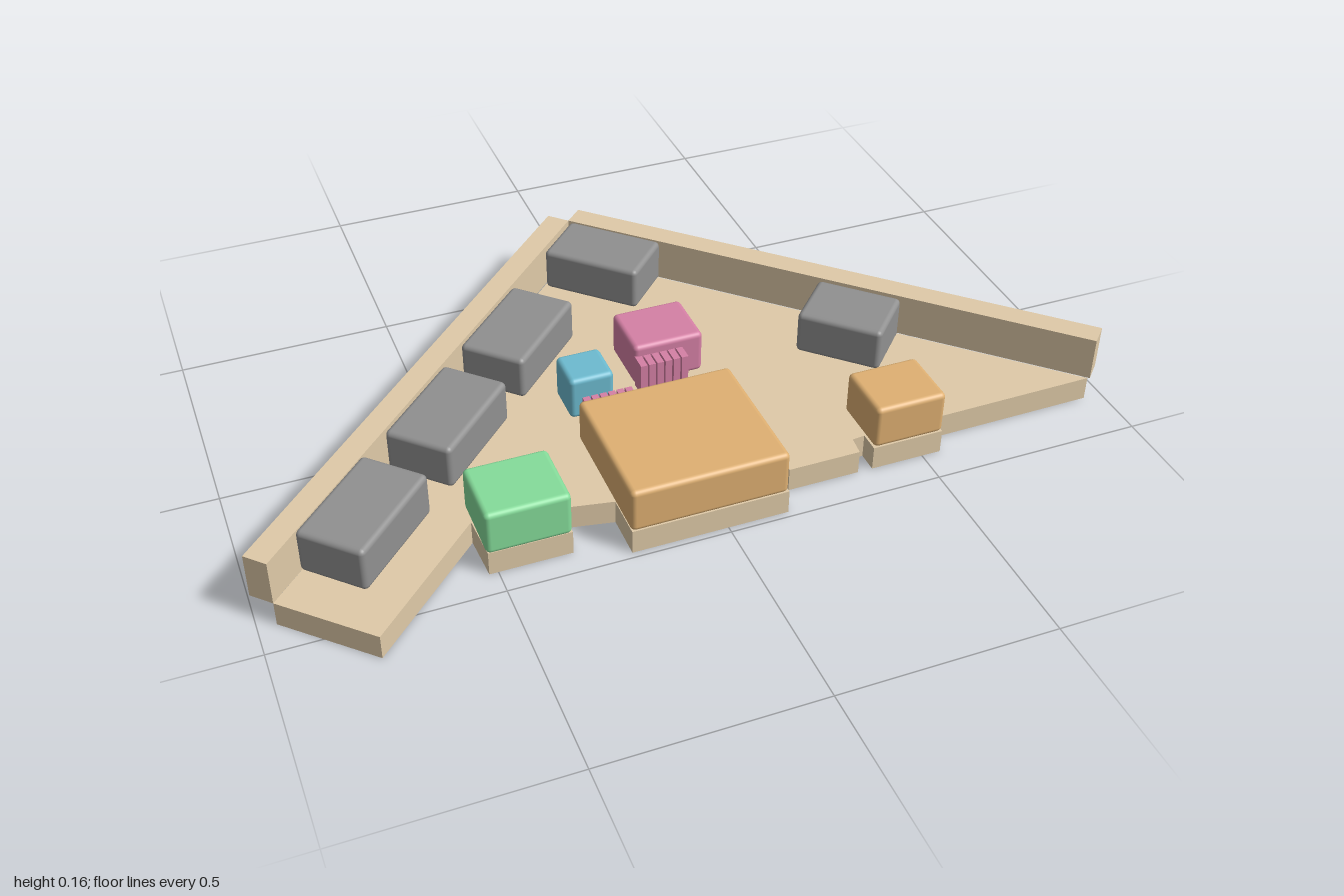
import * as THREE from 'three';
import { RoundedBoxGeometry } from 'three/addons/geometries/RoundedBoxGeometry.js';

const FLOOR = 0.058, TOP = 0.164;
const mat = (color) => new THREE.MeshStandardMaterial({ color });
const tan = mat(0xdfcaa8), grey = mat(0x909090), orange = mat(0xdfb072);
const green = mat(0x85dc9a), pink = mat(0xd580a5), blue = mat(0x6dbbd0);

// Extrudes a plan outline of [x, z] points upwards from y0 to y1
function slab(name, points, y0, y1) {
  const shape = new THREE.Shape(points.map(([x, z]) => new THREE.Vector2(x, -z)));
  const geo = new THREE.ExtrudeGeometry(shape, { depth: y1 - y0, bevelEnabled: false });
  geo.rotateX(-Math.PI / 2);
  geo.translate(0, y0, 0);
  const mesh = new THREE.Mesh(geo, tan);
  mesh.name = name;
  return mesh;
}

// Soft-edged block standing on the floor
function block(name, material, x, z, w, d, angle = 0, h = TOP - FLOOR) {
  const mesh = new THREE.Mesh(new RoundedBoxGeometry(w, h, d, 3, 0.012), material);
  mesh.position.set(x, FLOOR + h / 2, z);
  mesh.rotation.y = THREE.MathUtils.degToRad(angle);
  mesh.name = name;
  return mesh;
}

// Row of thin upright slats
function slats(name, x0, x1, z, d) {
  const group = new THREE.Group();
  group.name = name;
  const n = 6, h = 0.08, pitch = (x1 - x0) / n;
  for (let i = 0; i < n; i++) {
    const slat = new THREE.Mesh(new THREE.BoxGeometry(pitch * 0.8, h, d), pink);
    slat.position.set(x0 + (i + 0.5) * pitch, FLOOR + h / 2, z);
    group.add(slat);
  }
  return group;
}

export function createModel() {
  const model = new THREE.Group();
  model.name = 'floorPlan';

  // Floor plate with stepped front edge
  model.add(slab('floor', [
    [0, -0.552], [-0.96, 0.425], [-0.785, 0.592], [-0.525, 0.335],
    [-0.52, 0.44], [-0.335, 0.44], [-0.335, 0.36], [-0.22, 0.382],
    [-0.22, 0.485], [0.14, 0.485], [0.14, 0.375], [0.17, 0.375],
    [0.17, 0.42], [0.34, 0.42], [0.345, 0.375], [0.375, 0.372],
    [0.375, 0.42], [0.545, 0.42], [0.545, 0.372], [0.955, 0.368],
  ], 0, FLOOR));

  // Two walls meeting at the back corner, just outside the floor edge
  model.add(slab('leftWall',
    [[0.96, 0.37], [0, -0.555], [0.04, -0.595], [1, 0.33]], FLOOR, TOP));
  model.add(slab('rightWall',
    [[-0.04, -0.595], [0, -0.555], [-0.96, 0.425], [-1, 0.385]], FLOOR, TOP));

  // Grey blocks along the walls
  for (const [x, z] of [[-0.255, -0.177], [-0.495, 0.068], [-0.742, 0.312]])
    model.add(block('wallBlock', grey, x, z, 0.265, 0.16, 45.5));
  model.add(block('cornerBlock', grey, 0.04, -0.412, 0.245, 0.155, -44));
  model.add(block('sideBlock', grey, 0.495, 0.04, 0.205, 0.16, -44));

  // Coloured blocks
  model.add(block('largeBlock', orange, -0.042, 0.32, 0.36, 0.335));
  model.add(block('smallBlock', orange, 0.46, 0.347, 0.17, 0.15));
  model.add(block('greenBlock', green, -0.43, 0.363, 0.188, 0.165));
  model.add(block('pinkBlock', pink, 0.047, -0.058, 0.17, 0.148));
  model.add(block('blueBlock', blue, -0.164, 0.032, 0.105, 0.105));

  // Slatted strips
  model.add(slats('slatsBesidePinkBlock', -0.038, 0.082, 0.034, 0.042));
  model.add(slats('slatsBesideLargeBlock', -0.2, -0.08, 0.135, 0.042));
  return model;
}
